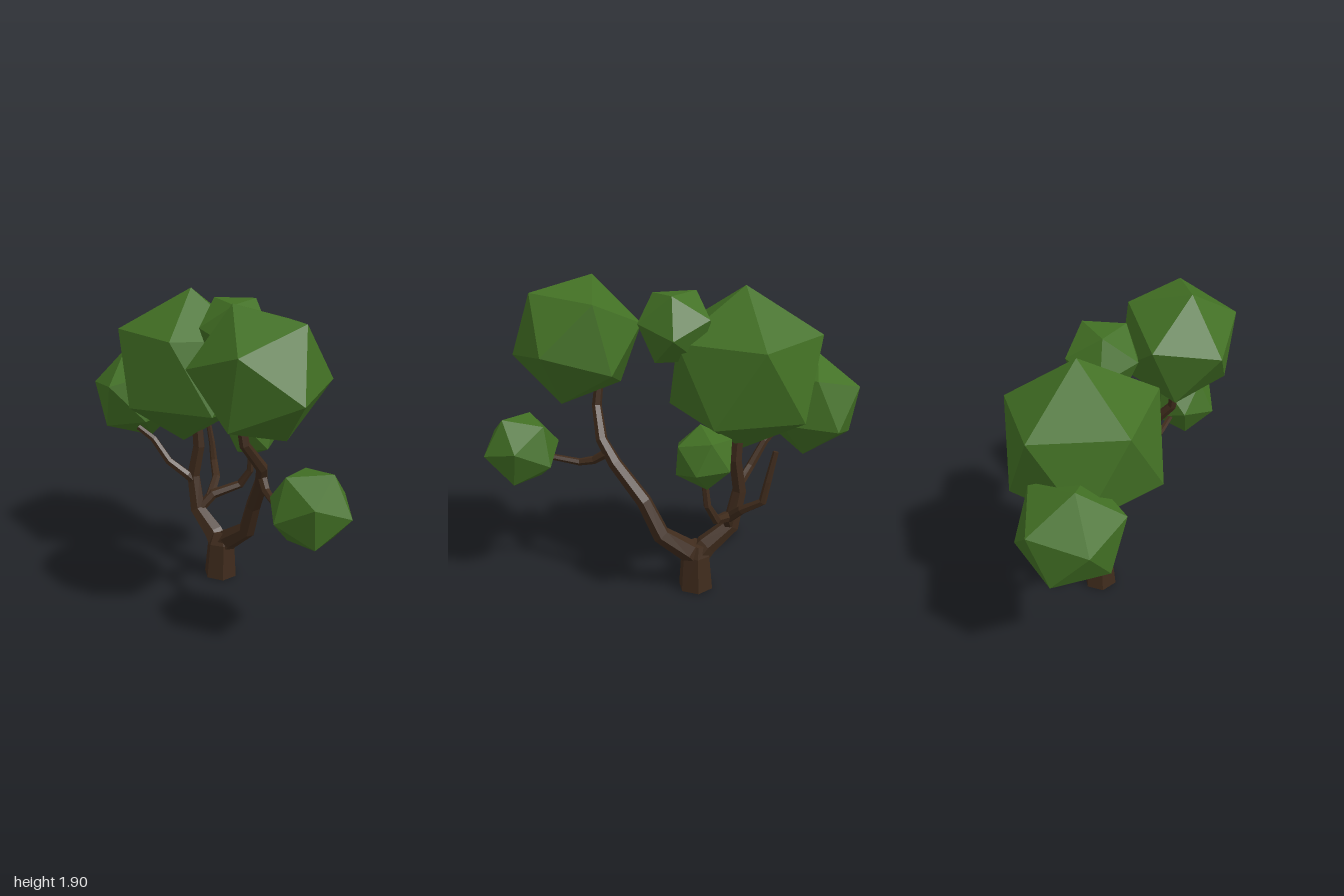
import * as THREE from 'three';

const V = (a) => new THREE.Vector3(...a);
const SIDES = 6;

// Faceted tapering limb through a list of [x, y, z, radius]
function limb(points, material, name) {
  const centres = points.map((p) => V(p.slice(0, 3)));
  const rings = [];
  const normal = new THREE.Vector3(0, 0, 1);
  centres.forEach((c, i) => {
    const tangent = new THREE.Vector3();
    if (i > 0) tangent.add(c.clone().sub(centres[i - 1]).normalize());
    if (i < centres.length - 1) tangent.add(centres[i + 1].clone().sub(c).normalize());
    tangent.normalize();
    normal.addScaledVector(tangent, -normal.dot(tangent)).normalize();
    const side = tangent.clone().cross(normal);
    const ring = [];
    for (let j = 0; j < SIDES; j++) {
      const a = (j / SIDES) * Math.PI * 2 + Math.PI / 6;
      ring.push(c.clone()
        .addScaledVector(normal, Math.cos(a) * points[i][3])
        .addScaledVector(side, Math.sin(a) * points[i][3]));
    }
    rings.push(ring);
  });

  const corners = [];
  const last = rings.length - 1;
  for (let j = 0; j < SIDES; j++) {
    const k = (j + 1) % SIDES;
    for (let i = 0; i < last; i++) {
      const [a, b] = [rings[i], rings[i + 1]];
      corners.push(a[j], a[k], b[k], a[j], b[k], b[j]);
    }
    corners.push(centres[0], rings[0][k], rings[0][j]);
    corners.push(centres[last], rings[last][j], rings[last][k]);
  }
  const geometry = new THREE.BufferGeometry().setFromPoints(corners);
  geometry.computeVertexNormals();
  const mesh = new THREE.Mesh(geometry, material);
  mesh.name = name;
  return mesh;
}

// Icosahedron turned so that two neighbouring corners point along p and q
function foliage({ name, centre, radius, p, q }, material) {
  const a = V(p).normalize();
  const b = V(q).normalize();
  const y = a.clone().add(b).normalize();
  const x = b.clone().sub(a).normalize();
  const z = x.clone().cross(y);
  const mesh = new THREE.Mesh(new THREE.IcosahedronGeometry(radius, 0), material);
  mesh.quaternion.setFromRotationMatrix(new THREE.Matrix4().makeBasis(x, y, z));
  mesh.position.set(...centre);
  mesh.name = name;
  return mesh;
}

export function createModel() {
  const tree = new THREE.Group();
  tree.name = 'tree';
  const bark = new THREE.MeshStandardMaterial({ color: 0x3f2b1c, flatShading: true });
  const leaf = new THREE.MeshStandardMaterial({ color: 0x427024, flatShading: true });

  // Trunk, two main boughs and the smaller branches
  const limbs = {
    trunk: [[0, 0, -0.21, 0.11], [0.005, 0.23, -0.21, 0.092], [0, 0.3, -0.22, 0.06]],
    leftBough: [
      [0, 0.2, -0.21, 0.075], [0.06, 0.265, -0.2, 0.07], [0.21, 0.39, -0.13, 0.056],
      [0.275, 0.6, -0.05, 0.048], [0.37, 0.82, 0.11, 0.042], [0.4, 0.95, 0.2, 0.036],
      [0.34, 1.12, 0.335, 0.03], [0.31, 1.3, 0.34, 0.026],
    ],
    rightBough: [
      [0, 0.2, -0.21, 0.075], [-0.06, 0.28, -0.24, 0.068], [-0.2, 0.4, -0.305, 0.054],
      [-0.24, 0.63, -0.33, 0.046], [-0.2, 0.84, -0.33, 0.042], [-0.22, 1.1, -0.33, 0.036],
    ],
    leftTwig: [
      [0.38, 0.89, 0.14, 0.03], [0.44, 0.82, 0.23, 0.026],
      [0.5, 0.8, 0.3, 0.022], [0.65, 0.84, 0.42, 0.018],
    ],
    rightTwig: [
      [-0.23, 0.59, -0.32, 0.032], [-0.27, 0.64, -0.29, 0.03], [-0.39, 0.73, -0.265, 0.027],
      [-0.5, 0.87, -0.27, 0.024], [-0.61, 0.94, -0.27, 0.02],
    ],
    middleTwig: [
      [-0.19, 0.4, -0.3, 0.036], [-0.11, 0.5, -0.36, 0.034], [0.05, 0.56, -0.45, 0.028],
      [0.12, 0.67, -0.45, 0.023], [0.13, 0.87, -0.425, 0.019],
    ],
    backTwig: [
      [-0.13, 0.48, -0.35, 0.032], [-0.13, 0.58, -0.47, 0.028], [-0.19, 0.655, -0.58, 0.025],
      [-0.21, 0.78, -0.595, 0.021], [-0.25, 0.96, -0.61, 0.017],
    ],
  };
  for (const [name, points] of Object.entries(limbs)) tree.add(limb(points, bark, name));

  // Leaf clumps
  [
    { name: 'largeFoliage', centre: [-0.27, 1.375, -0.31], radius: 0.495, p: [0.02, 0.49, -0.03], q: [0.07, 0.22, 0.43] },
    { name: 'leftFoliage', centre: [0.435, 1.535, 0.38], radius: 0.392, p: [0, 0.155, 0.36], q: [-0.145, 0.365, 0.04] },
    { name: 'rightFoliage', centre: [-0.695, 1.125, -0.455], radius: 0.315, p: [-0.075, 0.305, 0.03], q: [-0.305, 0.065, 0.06] },
    { name: 'lowLeftFoliage', centre: [0.765, 0.885, 0.52], radius: 0.234, p: [0.22, -0.015, 0.04], q: [0.115, 0.205, 0] },
    { name: 'topFoliage', centre: [0.105, 1.65, -0.14], radius: 0.235, p: [0.215, 0.03, 0.05], q: [0.105, 0.2, -0.1] },
    { name: 'lowMiddleFoliage', centre: [0.135, 0.965, -0.43], radius: 0.186, p: [-0.015, 0.18, 0.045], q: [0.165, 0.085, 0.03] },
  ].forEach((clump) => tree.add(foliage(clump, leaf)));

  return tree;
}
